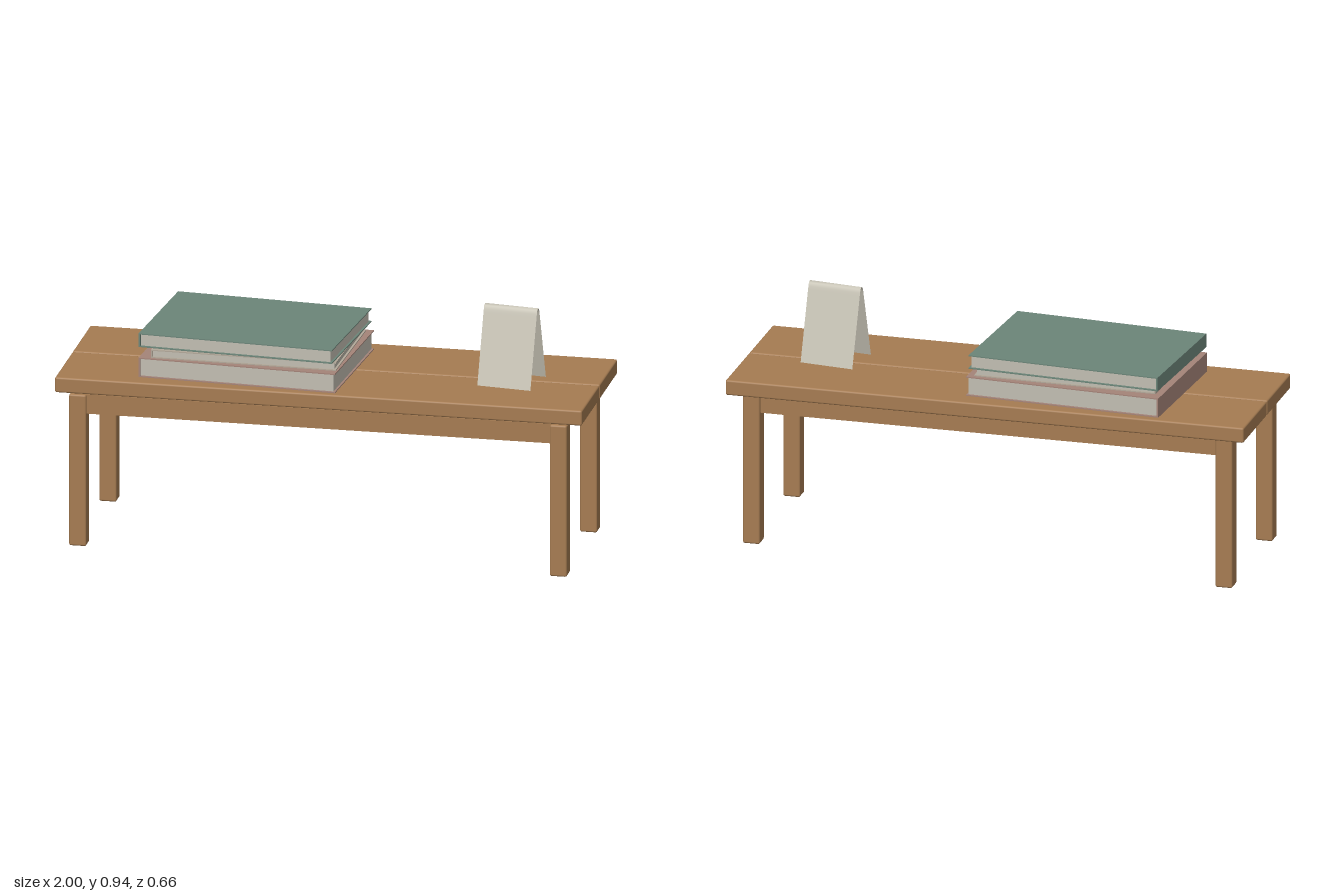
import * as THREE from 'three';
import { RoundedBoxGeometry } from 'three/addons/geometries/RoundedBoxGeometry.js';

const material = (name, color, extra = {}) => {
  const m = new THREE.MeshStandardMaterial({ color, ...extra });
  m.name = name;
  return m;
};

export function createModel() {
  const model = new THREE.Group();
  model.name = 'benchWithBooks';
  const wood = material('wood', 0xa67c52);
  const paper = material('paper', 0xc2beb2);
  const green = material('greenCover', 0x6c8579);
  const rose = material('roseCover', 0xa58479);
  const sand = material('sandCover', 0xb3a99a);
  const card = material('card', 0xc8c4b6, { side: THREE.DoubleSide });

  const add = (parent, name, geometry, mat, x, y, z) => {
    const mesh = new THREE.Mesh(geometry, mat);
    mesh.name = name;
    mesh.position.set(x, y, z);
    parent.add(mesh);
    return mesh;
  };
  const timber = (w, h, d) => new RoundedBoxGeometry(w, h, d, 2, 0.007);

  // Seat: two long planks with a narrow gap
  add(model, 'frontPlank', timber(2, 0.059, 0.32), wood, 0, 0.62, 0.16);
  add(model, 'backPlank', timber(2, 0.059, 0.32), wood, 0, 0.62, -0.166);

  // Legs and long aprons
  for (const [side, z] of [['front', 0.297], ['back', -0.253]]) {
    for (const x of [-0.912, 0.912]) {
      add(model, side + 'Leg', timber(0.065, 0.59, 0.065), wood, x, 0.295, z);
    }
    add(model, side + 'Apron', new THREE.BoxGeometry(1.77, 0.075, 0.04), wood, 0, 0.5525, z);
  }

  // Books: two cover boards, a spine on the -x edge and an inset page block
  const book = (name, cover, w, d, y0, y1, x, z, turn) => {
    const g = new THREE.Group();
    g.name = name;
    g.position.set(x, y0, z);
    g.rotation.y = -turn;
    const h = y1 - y0, t = 0.004;
    const board = new THREE.BoxGeometry(w, t, d);
    add(g, 'bottomCover', board, cover, 0, t / 2, 0);
    add(g, 'topCover', board, cover, 0, h - t / 2, 0);
    add(g, 'spine', new THREE.BoxGeometry(0.006, h - 2 * t, d), cover, -w / 2 + 0.003, h / 2, 0);
    add(g, 'pages', new THREE.BoxGeometry(w - 0.014, h - 2 * t, d - 0.018), paper, -0.001, h / 2, 0);
    model.add(g);
  };
  book('bottomBook', rose, 0.756, 0.552, 0.65, 0.725, -0.302, 0, 0.06);
  book('middleBook', sand, 0.705, 0.498, 0.725, 0.757, -0.293, 0.004, 0.02);
  book('topBook', green, 0.747, 0.532, 0.757, 0.81, -0.31, -0.015, 0.074);

  // Folded card: a thin sheet bent over a rounded ridge
  const fold = new THREE.CurvePath();
  const v = (z, y) => new THREE.Vector3(0, y, z);
  fold.add(new THREE.LineCurve3(v(0.09, 0), v(0.014, 0.28)));
  fold.add(new THREE.CubicBezierCurve3(v(0.014, 0.28), v(0.008, 0.3), v(-0.008, 0.3), v(-0.014, 0.28)));
  fold.add(new THREE.LineCurve3(v(-0.014, 0.28), v(-0.09, 0)));
  const sheet = new THREE.PlaneGeometry(0.208, 1, 1, 48);
  const pos = sheet.attributes.position;
  for (let i = 0; i < pos.count; i++) {
    const p = fold.getPointAt(THREE.MathUtils.clamp(pos.getY(i) + 0.5, 0, 1));
    // Top row of the plane maps to the back foot, so the outside faces outward
    pos.setXYZ(i, pos.getX(i), p.y, p.z);
  }
  sheet.computeVertexNormals();
  const foldedCard = add(model, 'foldedCard', sheet, card, 0.671, 0.65, 0.019);
  foldedCard.rotation.y = -0.12;

  return model;
}
